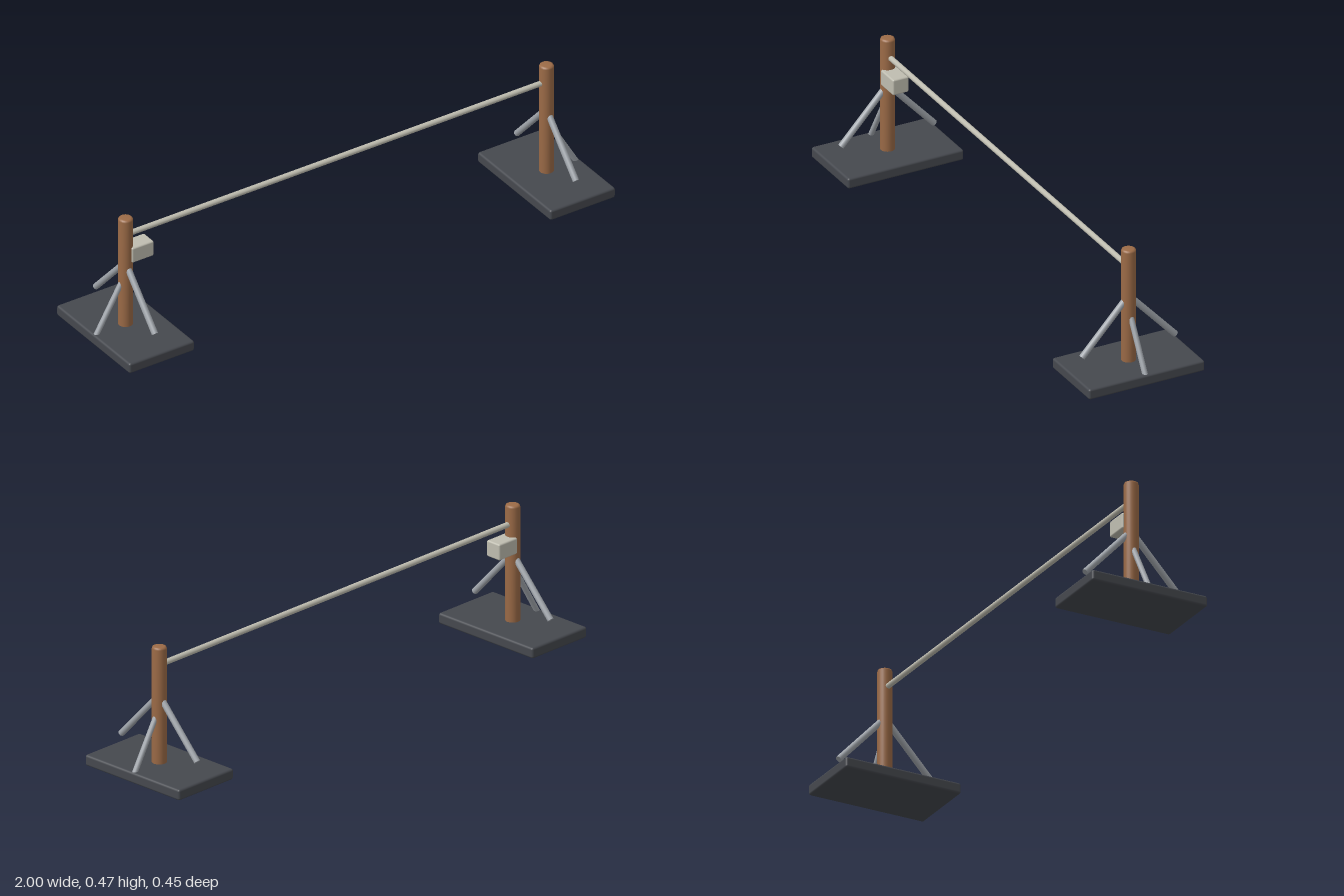
import * as THREE from 'three';
import { RoundedBoxGeometry } from 'three/addons/geometries/RoundedBoxGeometry.js';

const POST_X = 0.866;
const mat = (color) => new THREE.MeshStandardMaterial({ color });

function add(parent, name, geometry, material, x = 0, y = 0, z = 0) {
  const mesh = new THREE.Mesh(geometry, material);
  mesh.name = name;
  mesh.position.set(x, y, z);
  parent.add(mesh);
  return mesh;
}

// Straight round bar between two points
function addBar(parent, name, from, to, radius, material, sides = 12) {
  const a = new THREE.Vector3(...from), b = new THREE.Vector3(...to);
  const dir = b.clone().sub(a);
  const mesh = add(parent, name, new THREE.CylinderGeometry(radius, radius, dir.length(), sides), material);
  mesh.position.copy(a).add(b).multiplyScalar(0.5);
  mesh.quaternion.setFromUnitVectors(new THREE.Vector3(0, 1, 0), dir.normalize());
  return mesh;
}

export function createModel() {
  const model = new THREE.Group();
  model.name = 'barrier';
  const wood = mat(0x9c6b47), dark = mat(0x45484e), steel = mat(0x9ea3a9), pale = mat(0xbfbdb0);

  // Post with a softened top and bottom rim
  const r = 0.026, top = 0.47, bottom = 0.036, c = 0.008;
  const postProfile = [
    [0, bottom], [r, bottom], [r, top - c], [r - c * 0.3, top - c * 0.3], [r - c, top], [0, top],
  ].map(([x, y]) => new THREE.Vector2(x, y));

  for (const side of [-1, 1]) {
    const stand = new THREE.Group();
    stand.name = side > 0 ? 'leftStand' : 'rightStand';
    stand.position.x = side * POST_X;
    model.add(stand);

    add(stand, 'base', new RoundedBoxGeometry(0.268, 0.04, 0.45, 2, 0.008), dark, 0, 0.02, 0);
    add(stand, 'post', new THREE.LatheGeometry(postProfile, 24), wood);

    // Two short braces front and back, one longer brace on the outer side
    for (const s of [-1, 1]) {
      addBar(stand, s > 0 ? 'frontBrace' : 'backBrace',
        [0, 0.282, s * 0.005], [0, 0.0925, s * 0.181], 0.0115, steel);
    }
    addBar(stand, 'outerBrace', [side * 0.012, 0.22, 0], [side * 0.122, 0.032, 0], 0.01, steel);
  }

  // Crossbar between the posts
  addBar(model, 'crossbar', [-POST_X, 0.4, 0], [POST_X, 0.4, 0], 0.01, pale);

  // Small box fixed to the right post
  add(model, 'controlBox', new RoundedBoxGeometry(0.09, 0.06, 0.062, 2, 0.006), pale, -0.814, 0.326, 0);

  return model;
}
